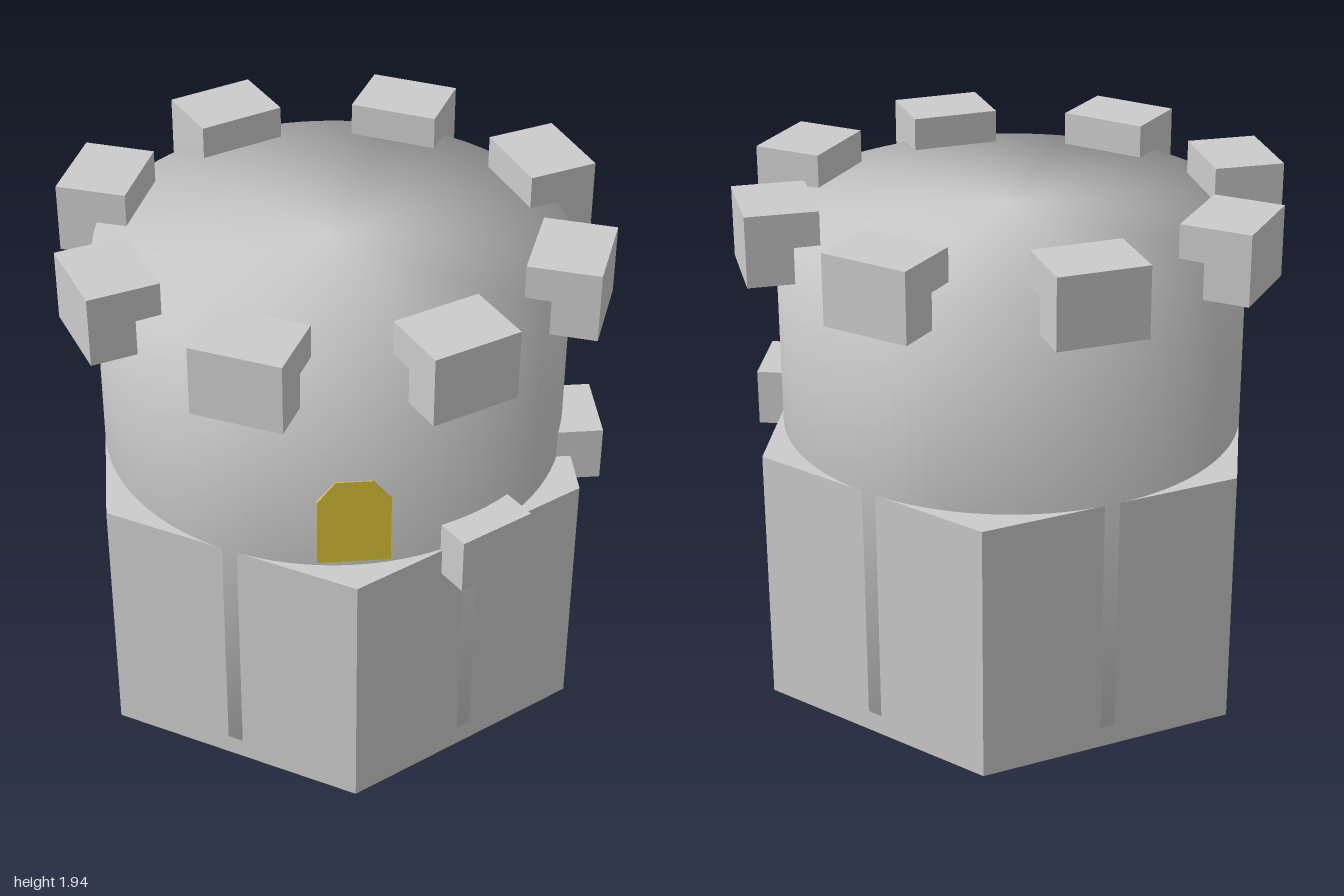
import * as THREE from 'three';

const grey = new THREE.MeshStandardMaterial({ color: 0xcccccc });
const flatGrey = new THREE.MeshStandardMaterial({ color: 0xcccccc, flatShading: true });
const gold = new THREE.MeshStandardMaterial({ color: 0xd6bf36 });

export function createModel() {
  const tower = new THREE.Group();
  tower.name = 'tower';

  const add = (name, geometry, material, x = 0, y = 0, z = 0, yaw = 0) => {
    const mesh = new THREE.Mesh(geometry, material);
    mesh.name = name;
    mesh.position.set(x, y, z);
    mesh.rotation.y = yaw;
    tower.add(mesh);
    return mesh;
  };

  // Six-sided base, a corner facing the front
  add('base', new THREE.CylinderGeometry(1, 1, 1, 6), flatGrey, 0, 0.5, 0);

  // Round drum with soft normals over the rim; it just breaks through the base walls
  const profile = [[0, 0.08], [0.867, 0.08], [0.867, 1.816], [0, 1.833]]
    .map(([r, y]) => new THREE.Vector2(r, y));
  add('drum', new THREE.LatheGeometry(profile, 96), grey);

  // Eight battlement blocks, mirrored in x and z, each turned slightly off radial
  const merlon = new THREE.BoxGeometry(0.265, 0.265, 0.335);
  for (const [x, z, yaw] of [[0.81, 0.34, 19.5], [0.345, 0.8, 65]]) {
    for (const sx of [1, -1]) {
      for (const sz of [1, -1]) {
        add('merlon', merlon, flatGrey, sx * x, 1.812, sz * z,
          -sx * sz * THREE.MathUtils.degToRad(yaw));
      }
    }
  }

  // Two loose blocks set into the top edge of the base
  const block = new THREE.BoxGeometry(0.3, 0.215, 0.25);
  add('ledgeBlock', block, flatGrey, 0.447, 1.003, 0.737, Math.PI / 6);
  add('ledgeBlock', block, flatGrey, 0.857, 1.003, 0.153, Math.PI / 2);

  // Window panel with chamfered top corners
  const outline = new THREE.Shape([
    [-0.13, 1.02], [0.13, 1.02], [0.13, 1.285], [0.065, 1.37], [-0.065, 1.37], [-0.13, 1.285],
  ].map(([x, y]) => new THREE.Vector2(x, y)));
  add('window', new THREE.ExtrudeGeometry(outline, { depth: 0.07, bevelEnabled: false }), gold, 0, 0, 0.8);

  return tower;
}
